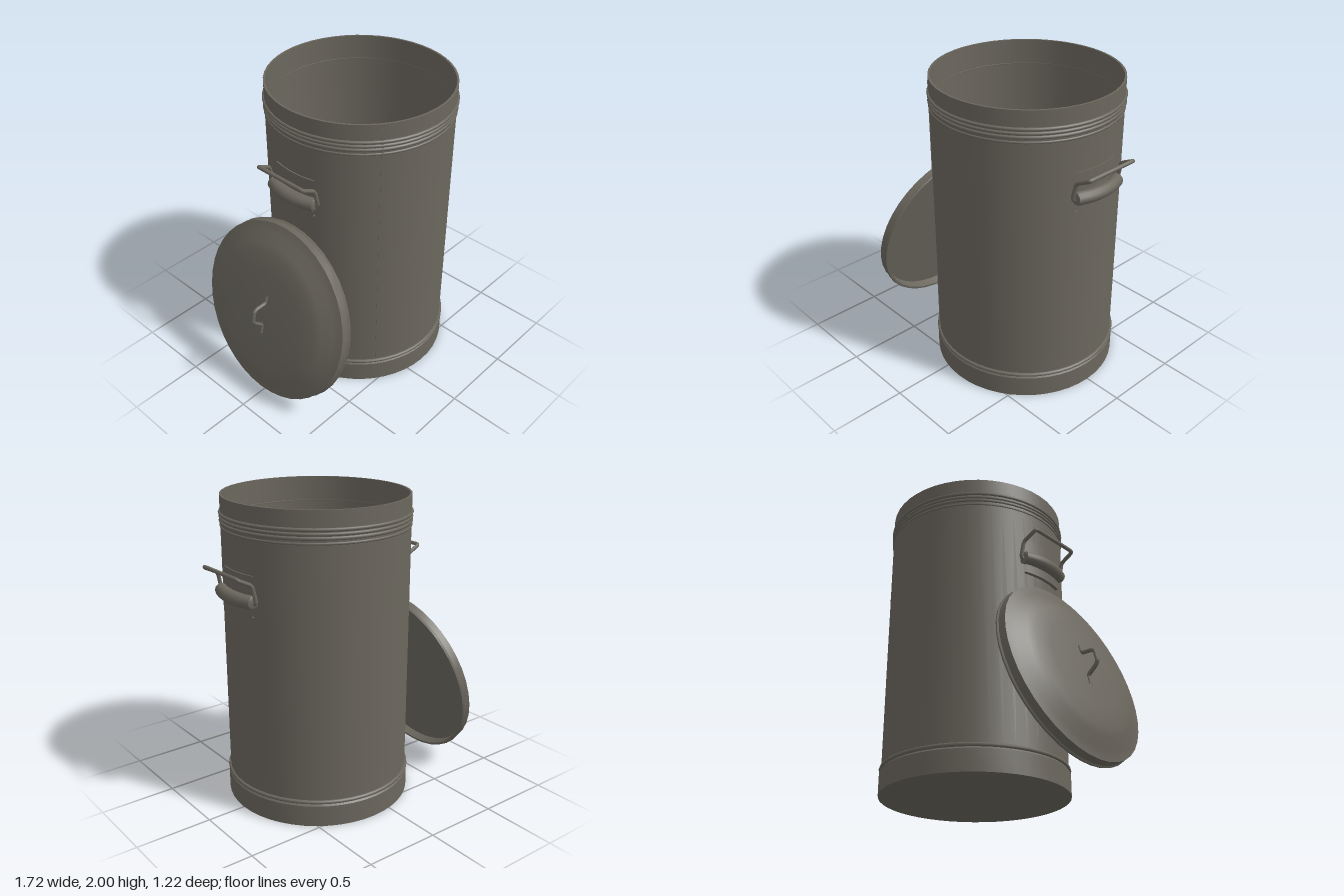
import * as THREE from 'three';
import { toCreasedNormals } from 'three/addons/utils/BufferGeometryUtils.js';

const steel = new THREE.MeshStandardMaterial({ color: 0x6b675e, side: THREE.DoubleSide });
steel.name = 'dull steel';

function add(parent, name, geometry) {
  const mesh = new THREE.Mesh(geometry, steel);
  mesh.name = name;
  parent.add(mesh);
  return mesh;
}

// Turned sheet metal; profile is a list of [radius, height]
function turned(profile, segments = 48, start = 0, sweep = Math.PI * 2) {
  const points = profile.map(([r, y]) => new THREE.Vector2(r, y));
  return toCreasedNormals(new THREE.LatheGeometry(points, segments, start, sweep), 0.5);
}

// Small curved plate wrapped on the wall, centred on +x
function wallPlate(r0, r1, y0, y1, half) {
  return turned([[r0, y0], [r1, y0], [r1, y1], [r0, y1]], 8, Math.PI / 2 - half, half * 2);
}

function bentWire(points, radius, closed = false, segments = 80) {
  const curve = new THREE.CatmullRomCurve3(
    points.map((p) => new THREE.Vector3(...p)), closed, 'catmullrom', 0.15);
  return new THREE.TubeGeometry(curve, segments, radius, 8, closed);
}

function createSideHandle() {
  const handle = new THREE.Group();
  handle.name = 'sideHandle';
  add(handle, 'upperMountPlate', wallPlate(0.585, 0.6, 1.46, 1.59, 0.265));
  add(handle, 'lowerMountPlate', wallPlate(0.585, 0.615, 1.34, 1.47, 0.27));

  // Rolled sleeve that holds the wire, following the wall
  const sleeve = new THREE.CatmullRomCurve3([-0.175, -0.09, 0, 0.09, 0.175].map(
    (z) => new THREE.Vector3(0.632 - z * z * 1.2, 1.437, z)));
  add(handle, 'sleeve', new THREE.TubeGeometry(sleeve, 20, 0.042, 12));
  for (const z of [-0.175, 0.175]) {
    const cap = add(handle, 'sleeveEnd', new THREE.SphereGeometry(0.042, 12, 8));
    cap.position.set(0.595, 1.437, z);
    cap.scale.z = 0.25;
  }

  // Bent wire loop
  add(handle, 'wireGrip', bentWire([
    [0.63, 1.437, 0], [0.588, 1.43, 0.18], [0.586, 1.445, 0.195],
    [0.602, 1.525, 0.193], [0.615, 1.55, 0.191], [0.69, 1.588, 0.187], [0.703, 1.598, 0.17],
    [0.703, 1.598, -0.17], [0.69, 1.588, -0.187], [0.615, 1.55, -0.191],
    [0.602, 1.525, -0.193], [0.586, 1.445, -0.195], [0.588, 1.43, -0.18],
  ], 0.013, true, 120));
  return handle;
}

function createCan() {
  const can = new THREE.Group();
  can.name = 'can';

  // Base band, wall, open rim, inner wall and floor
  add(can, 'body', turned([
    [0, 0], [0.605, 0], [0.605, 0.14], [0.593, 0.155], [0.593, 1.8],
    [0.593, 2], [0.58, 2], [0.576, 0.06], [0, 0.06],
  ]));

  // Rolled beads around the base and the neck
  const beads = [[0.165, 0.595, 0.013], [1.808, 0.59, 0.009], [1.838, 0.59, 0.012],
    [1.862, 0.591, 0.011], [1.888, 0.594, 0.011]];
  for (const [y, r, tube] of beads) {
    const bead = add(can, 'bead', new THREE.TorusGeometry(r, tube, 8, 48));
    bead.rotation.x = Math.PI / 2;
    bead.position.y = y;
  }

  // Vertical overlap seam in the sheet
  const angle = Math.atan2(-0.348, 0.48);
  const seam = add(can, 'seam', new THREE.BoxGeometry(0.012, 1.79, 0.008));
  seam.position.set(0.592 * Math.sin(angle), 1.075, 0.592 * Math.cos(angle));
  seam.rotation.y = angle;

  for (const turn of [0, Math.PI]) {
    const handle = createSideHandle();
    handle.rotation.y = turn;
    can.add(handle);
  }
  return can;
}

function createLid() {
  const lid = new THREE.Group();
  lid.name = 'lid';
  // Recessed underside, rim skirt and shallow dome
  add(lid, 'lidShell', turned([
    [0, 0.055], [0.58, 0.055], [0.588, 0], [0.604, 0], [0.608, 0.012], [0.6, 0.02],
    [0.6, 0.07], [0.575, 0.076], [0.54, 0.088], [0.47, 0.12], [0.42, 0.135],
    [0.3, 0.143], [0.15, 0.147], [0, 0.149],
  ], 40));
  // Bent strap handle
  add(lid, 'lidHandle', bentWire([
    [0.14, 0.147, 0], [0.095, 0.15, 0], [0.08, 0.165, 0], [0.065, 0.22, 0], [0.045, 0.238, 0],
    [-0.02, 0.238, 0], [-0.042, 0.22, 0], [-0.07, 0.165, 0], [-0.085, 0.15, 0], [-0.14, 0.147, 0],
  ], 0.013));
  return lid;
}

export function createModel() {
  const model = new THREE.Group();
  model.name = 'trashCan';

  const can = createCan();
  can.position.x = 0.135;
  model.add(can);

  // Lid leaning against the side of the can
  const lid = createLid();
  lid.position.set(-0.62, 0.615, 0);
  lid.rotation.z = THREE.MathUtils.degToRad(75.6);
  model.add(lid);
  return model;
}
